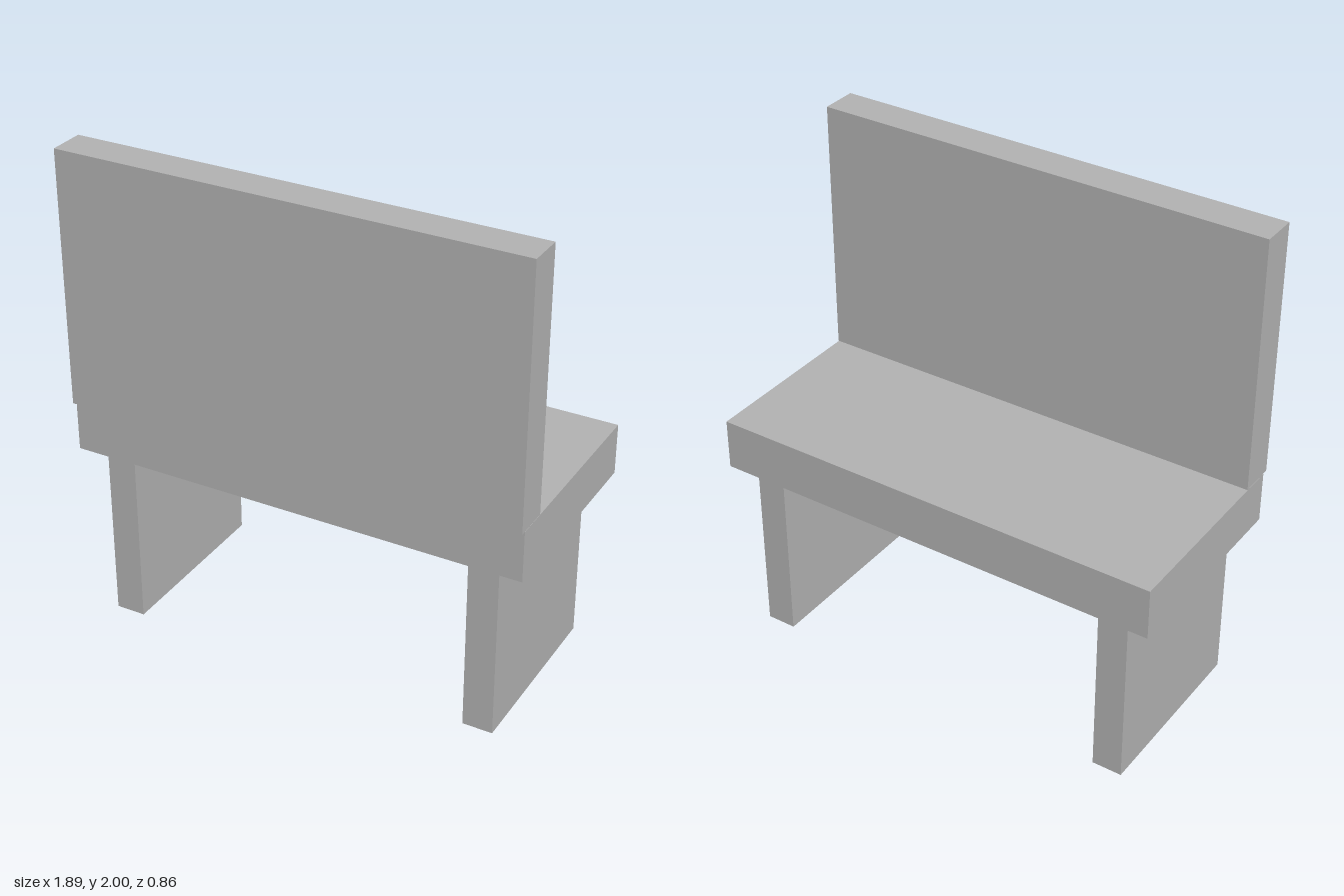
import * as THREE from 'three';

export function createModel() {
  const group = new THREE.Group();
  group.name = 'bench';
  const grey = new THREE.MeshStandardMaterial({ color: 0xb2b2b2 });
  grey.name = 'grey';

  // Adds a block spanning the given minimum and maximum corners
  const addBlock = (name, [x0, y0, z0], [x1, y1, z1]) => {
    const mesh = new THREE.Mesh(new THREE.BoxGeometry(x1 - x0, y1 - y0, z1 - z0), grey);
    mesh.position.set((x0 + x1) / 2, (y0 + y1) / 2, (z0 + z1) / 2);
    mesh.name = name;
    group.add(mesh);
  };

  // Thick seat slab
  addBlock('seat', [-0.945, 0.74, -0.43], [0.945, 0.95, 0.412]);

  // Upright panel, overhanging the seat edge slightly
  addBlock('backrest', [-0.945, 0.952, 0.285], [0.945, 2, 0.434]);

  // Slab legs
  addBlock('leftLeg', [0.715, 0, -0.388], [0.838, 0.74, 0.37]);
  addBlock('rightLeg', [-0.842, 0, -0.388], [-0.719, 0.74, 0.37]);

  return group;
}
